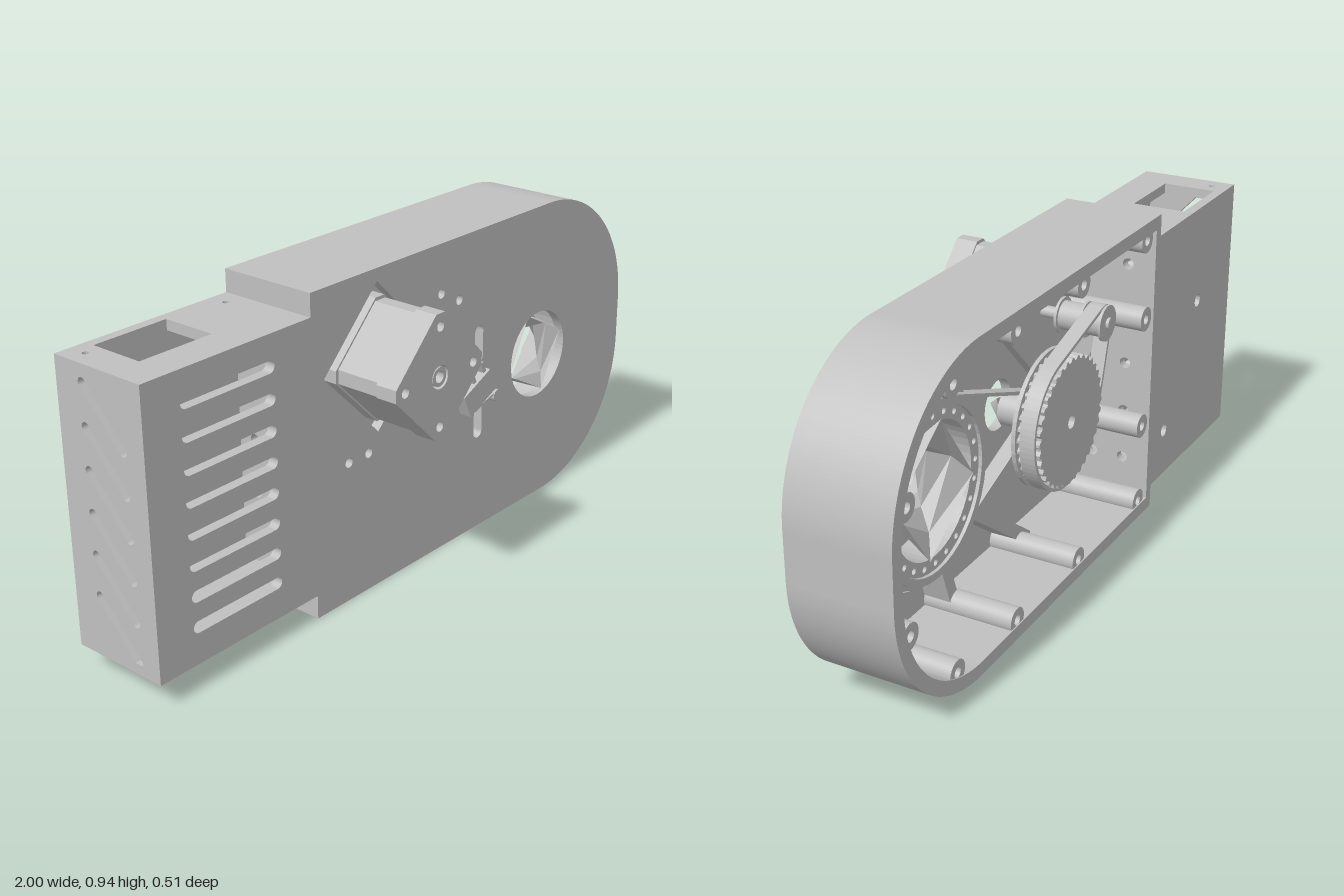
import * as THREE from 'three';

const TAU = Math.PI * 2;

export function createModel() {
  const model = new THREE.Group();
  const grey = new THREE.MeshStandardMaterial({ color: 0xc0c0c0 });
  const greySheet = new THREE.MeshStandardMaterial({ color: 0xc0c0c0, side: THREE.DoubleSide });
  grey.name = 'grey plastic';
  greySheet.name = 'grey sheet';

  const add = (name, geo, x = 0, y = 0, z = 0, parent = model, mat = grey) => {
    const m = new THREE.Mesh(geo, mat);
    m.name = name;
    m.position.set(x, y, z);
    parent.add(m);
    return m;
  };
  const poly = (pts) => new THREE.Shape(pts.map(([x, y]) => new THREE.Vector2(x, y)));
  const rect = (x0, y0, x1, y1) => poly([[x0, y0], [x1, y0], [x1, y1], [x0, y1]]);
  const disc = (x, y, r) => new THREE.Shape().absarc(x, y, r, 0, TAU, false);
  // Rounded slot between two points
  const slot = (ax, ay, bx, by, r) => {
    const a = Math.atan2(by - ay, bx - ax), q = Math.PI / 2;
    const s = new THREE.Shape();
    s.absarc(bx, by, r, a - q, a + q, false);
    s.absarc(ax, ay, r, a + q, a + 3 * q, false);
    s.closePath();
    return s;
  };
  const slab = (shape, holes, depth, seg = 16) => {
    shape.holes.push(...holes);
    return new THREE.ExtrudeGeometry(shape, { depth, bevelEnabled: false, curveSegments: seg });
  };
  const plate = (name, shape, holes, z0, z1, seg, parent) =>
    add(name, slab(shape, holes, z1 - z0, seg), 0, 0, z0, parent);
  const rod = (name, x, y, r, z0, z1, parent = model) => add(name,
    new THREE.CylinderGeometry(r, r, z1 - z0, 24).rotateX(Math.PI / 2), x, y, (z0 + z1) / 2, parent);
  const tube = (name, x, y, r, hole, z0, z1, parent) =>
    plate(name, disc(x, y, r), [disc(x, y, hole)], z0, z1, 20, parent);

  const B = -0.255, F = 0.045, P = 0.015;   // back, front and inner face of front plate
  const cx = 0.56, cy = 0.47;               // aperture centre
  const sx = 0.035, sy = 0.47;              // idler shaft
  const mx = -0.18, my = 0.684;             // motor
  const diamond = (r) => poly([[mx, my - r], [mx + r, my], [mx, my + r], [mx - r, my]]);

  // Front plate with vents, ports and screw holes
  const face = new THREE.Shape();
  face.moveTo(-1, 0.07).lineTo(-0.435, 0.07).lineTo(-0.435, 0).lineTo(0.6, 0);
  face.absarc(0.6, 0.4, 0.4, -Math.PI / 2, 0, false);
  face.absarc(0.6, 0.535, 0.4, 0, Math.PI / 2, false);
  face.lineTo(-0.435, 0.935).lineTo(-0.435, 0.87).lineTo(-1, 0.87);
  const frontHoles = [disc(cx, cy, 0.135), disc(sx, sy, 0.075), diamond(0.215),
    slot(0.265, 0.55, 0.265, 0.627, 0.019), slot(0.265, 0.313, 0.265, 0.39, 0.019)];
  for (const [x, y] of [[0.09, 0.79], [0.17, 0.75], [0.09, 0.715], [-0.3, 0.418], [-0.22, 0.418]])
    frontHoles.push(disc(x, y, 0.014));
  for (let i = 0; i < 8; i++) {
    const y = 0.175 + i * 0.0868;
    frontHoles.push(slot(-0.865, y, -0.585, y, 0.017));
  }
  plate('frontPlate', face, frontHoles, P, F, 32);

  // Wall around the open-backed housing
  const t = 0.04, wall = new THREE.Shape();
  wall.moveTo(-0.435, 0).lineTo(0.6, 0);
  wall.absarc(0.6, 0.4, 0.4, -Math.PI / 2, 0, false);
  wall.absarc(0.6, 0.535, 0.4, 0, Math.PI / 2, false);
  wall.lineTo(-0.435, 0.935).lineTo(-0.435, 0.935 - t).lineTo(0.6, 0.935 - t);
  wall.absarc(0.6, 0.535, 0.4 - t, Math.PI / 2, 0, true);
  wall.absarc(0.6, 0.4, 0.4 - t, 0, -Math.PI / 2, true);
  wall.lineTo(-0.435, t);
  plate('housingWall', wall, [], B, P, 32);

  // Electronics box: back, top, bottom, end and divider
  const box = new THREE.Group();
  box.name = 'electronicsBox';
  model.add(box);
  const w = 0.03;
  plate('boxBack', rect(-1, 0.07, -0.435, 0.87), [disc(-0.74, 0.57, 0.02), disc(-0.52, 0.22, 0.02)], B, B + w, 16, box);
  const level = (name, holes, y) => add(name,
    slab(rect(-1, -P, -0.435, -B - w), holes, w).rotateX(-Math.PI / 2), 0, y, 0, box);
  level('boxTop', [rect(-0.905, 0.062, -0.672, 0.225), disc(-0.95, 0.2, 0.009), disc(-0.49, 0.2, 0.009)], 0.84);
  level('boxBottom', [rect(-0.905, 0.14, -0.755, 0.225), disc(-0.95, 0.2, 0.009), disc(-0.49, 0.2, 0.009)], 0.07);
  const upright = (name, shape, holes, x) => add(name,
    slab(shape, holes, w).rotateY(-Math.PI / 2), x, 0, 0, box);
  const endVents = [], wires = [];
  for (let i = 0; i < 6; i++) {
    const y = 0.82 - i * 0.115;
    endVents.push(slot(-0.16, y, -0.03, y - 0.14, 0.014));
  }
  for (let i = 0; i < 5; i++)
    for (const z of [-0.17, -0.07]) wires.push(disc(z, 0.16 + i * 0.155, 0.017));
  upright('boxEnd', rect(B + w, 0.1, P, 0.84), endVents, -1 + w);
  upright('divider', rect(B, t, P, 0.935 - t), wires, -0.405);

  // Screw posts for the rear cover
  const posts = [[0.93, 0.3], [0.93, 0.64], [-0.36, 0.64], [-0.36, 0.3]];
  for (const x of [-0.35, 0.05, 0.41, 0.72]) {
    const d = x > 0.6 ? 0.075 : 0.055;
    posts.push([x, d], [x, 0.935 - d]);
  }
  for (const [x, y] of posts) tube('screwPost', x, y, 0.036, 0.015, B + 0.003, P);

  // Stiffening ribs from the bearing seat to the wall
  for (const [x, y] of [[0.41, 0.9], [0.41, 0.04], [0.94, 0.64], [0.94, 0.3], [0, 0.05], [0.72, 0.89], [0.72, 0.05]]) {
    const a = Math.atan2(y - cy, x - cx), len = Math.hypot(x - cx, y - cy) - 0.27;
    const rib = add('rib', new THREE.BoxGeometry(len, 0.04, 0.08),
      cx + Math.cos(a) * (0.27 + len / 2), cy + Math.sin(a) * (0.27 + len / 2), P - 0.04);
    rib.rotation.z = a;
  }

  // Bearing seat and rotating ring with a bolt circle
  tube('bearingSeat', cx, cy, 0.28, 0.25, -0.06, P);
  const ringBolts = [disc(cx, cy, 0.185)];
  for (let i = 0; i < 24; i++) {
    const a = (i / 24) * TAU;
    ringBolts.push(disc(cx + 0.207 * Math.cos(a), cy + 0.207 * Math.sin(a), 0.009));
  }
  plate('rotatingRing', disc(cx, cy, 0.233), ringBolts, -0.095, 0.005, 24);
  tube('ringFlange', cx, cy, 0.247, 0.225, -0.105, -0.095);

  // Twisted square aperture
  const sections = [[0.134, 0.035], [0.112, 0.01], [0.105, -0.02], [0.145, -0.06], [0.19, -0.1]];
  const pos = [], idx = [];
  sections.forEach(([r, z], i) => {
    for (let k = 0; k < 4; k++) {
      const a = 0.3 + i * 0.36 + (k * TAU) / 4;
      pos.push(r * Math.cos(a), r * Math.sin(a), z);
      if (i) {
        const a0 = (i - 1) * 4 + k, a1 = (i - 1) * 4 + ((k + 1) % 4);
        idx.push(a0, a1, a0 + 4, a1, a1 + 4, a0 + 4);
      }
    }
  });
  const twist = new THREE.BufferGeometry();
  twist.setAttribute('position', new THREE.Float32BufferAttribute(pos, 3));
  twist.setIndex(idx);
  const twistFlat = twist.toNonIndexed();
  twistFlat.computeVertexNormals();
  add('aperture', twistFlat, cx, cy, 0, model, greySheet);

  // Belts wrapped round two pulleys
  const loop = (x1, y1, r1, x2, y2, r2) => {
    const a = Math.atan2(y2 - y1, x2 - x1);
    const p = Math.acos((r1 - r2) / Math.hypot(x2 - x1, y2 - y1));
    const s = new THREE.Shape();
    s.absarc(x1, y1, r1, a + p, a + TAU - p, false);
    s.absarc(x2, y2, r2, a - p, a + p, false);
    s.closePath();
    return s;
  };
  const belt = (name, x1, y1, r1, x2, y2, r2, z0, z1) => plate(name,
    loop(x1, y1, r1 + 0.01, x2, y2, r2 + 0.01), [loop(x1, y1, r1, x2, y2, r2)], z0, z1, 24);
  belt('ringBelt', cx, cy, 0.233, sx, sy, 0.05, -0.085, -0.04);
  belt('motorBelt', sx, sy, 0.188, mx, my, 0.042, -0.205, -0.16);

  // Idler: toothed wheel, small pulley and three-sided shaft tip
  const teeth = [];
  for (let i = 0; i < 144; i++) {
    const a = (i / 144) * TAU, r = i % 4 < 2 ? 0.188 : 0.178;
    teeth.push([sx + r * Math.cos(a), sy + r * Math.sin(a)]);
  }
  plate('toothedWheel', poly(teeth), [disc(sx, sy, 0.02)], -0.215, -0.145);
  tube('wheelFlange', sx, sy, 0.198, 0.02, -0.147, -0.135);
  rod('idlerPulley', sx, sy, 0.05, -0.135, -0.01);
  add('shaftTip', new THREE.ConeGeometry(0.07, 0.05, 3).toNonIndexed().rotateX(Math.PI / 2).rotateZ(0.2), sx, sy, 0.015);

  // Stepper motor, turned on its corner, sunk into the plate opening
  const motor = new THREE.Group();
  motor.name = 'motor';
  model.add(motor);
  const chamfered = (h, c) => {
    const pts = [];
    for (let k = 0; k < 4; k++) {
      const a = Math.PI / 4 + (k * TAU) / 4, u = [Math.cos(a), Math.sin(a)];
      for (const s of [-1, 1]) pts.push([mx + u[0] * h - u[1] * s * c, my + u[1] * h + u[0] * s * c]);
    }
    return poly(pts);
  };
  const corners = [0, 1, 2, 3].map((k) => [mx + 0.14 * Math.cos(k * TAU / 4), my + 0.14 * Math.sin(k * TAU / 4)]);
  const bolts = () => corners.map(([x, y]) => disc(x, y, 0.014));
  plate('motorMount', diamond(0.225), [disc(mx, my, 0.06), ...bolts()], -0.012, P, 16, motor);
  plate('motorFrontCap', chamfered(0.137, 0.112), [], P, 0.055, 16, motor);
  plate('motorBody', chamfered(0.132, 0.104), [], 0.055, 0.195, 16, motor);
  plate('motorEndCap', chamfered(0.137, 0.112), [disc(mx, my, 0.033), ...bolts()], 0.192, 0.258, 16, motor);
  tube('motorBearing', mx, my, 0.027, 0.016, 0.195, 0.256, motor);
  rod('motorShaft', mx, my, 0.017, -0.225, 0.02, motor);
  rod('motorPulley', mx, my, 0.042, -0.21, -0.08, motor);
  for (const z of [-0.216, -0.155, -0.08]) rod('pulleyFlange', mx, my, 0.052, z, z + 0.008, motor);

  // Limit switch with three pins, lever and roller
  const sw = new THREE.Group();
  sw.name = 'limitSwitch';
  sw.position.set(0.225, 0.46, 0.065);
  sw.rotation.z = 0.42;
  model.add(sw);
  add('switchBody', new THREE.BoxGeometry(0.13, 0.075, 0.038), 0, 0, 0, sw);
  for (const x of [-0.05, 0, 0.05]) add('switchPin', new THREE.BoxGeometry(0.012, 0.04, 0.022), x, 0.052, 0, sw);
  const lever = add('switchLever', new THREE.BoxGeometry(0.13, 0.006, 0.025), 0.01, -0.05, 0, sw);
  lever.rotation.z = -0.15;
  rod('switchRoller', 0.065, -0.07, 0.018, -0.015, 0.015, sw);

  return model;
}
